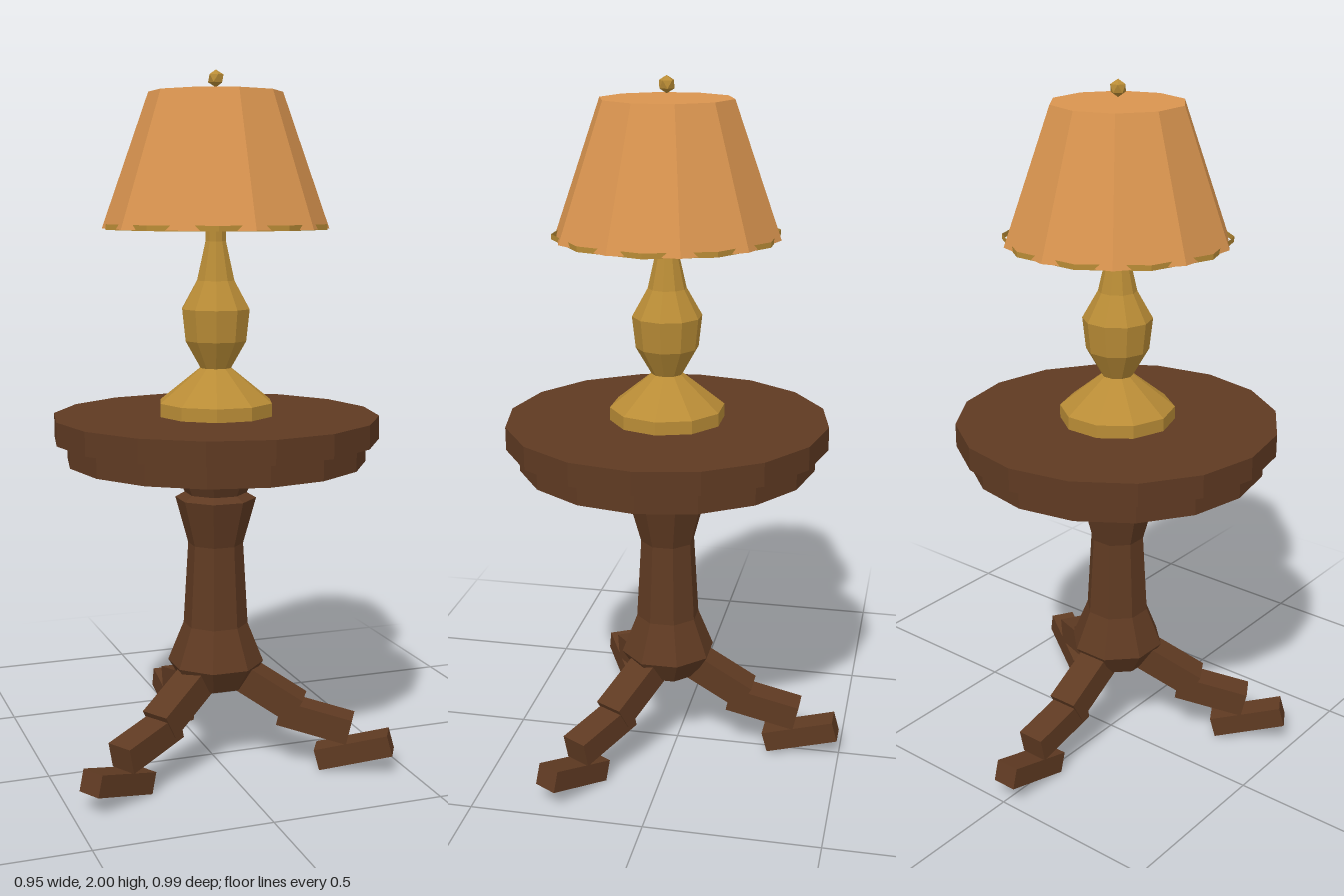
import * as THREE from 'three';

const material = (name, color, side = THREE.FrontSide) =>
  new THREE.MeshStandardMaterial({ name, color, side, flatShading: true });

export function createModel() {
  const wood = material('dark wood', 0x5f3a22);
  const brass = material('brass', 0xb98c36, THREE.DoubleSide);
  const fabric = material('shade fabric', 0xd9944f);

  const model = new THREE.Group();
  model.name = 'tableWithLamp';
  // everything turns about one vertical axis, slightly forward of the origin
  const axis = new THREE.Group();
  axis.name = 'turnedParts';
  axis.position.z = 0.03;
  model.add(axis);

  const add = (name, geometry, mat, parent = axis) => {
    const mesh = new THREE.Mesh(geometry, mat);
    mesh.name = name;
    parent.add(mesh);
    return mesh;
  };
  const disc = (name, rTop, rBottom, y0, y1, sides, mat, open = false) => {
    const mesh = add(name, new THREE.CylinderGeometry(rTop, rBottom, y1 - y0, sides, 1, open), mat);
    mesh.position.y = (y0 + y1) / 2;
    return mesh;
  };
  const turned = (name, profile, sides, turn, mat) => {
    const points = profile.map(([r, y]) => new THREE.Vector2(r, y));
    add(name, new THREE.LatheGeometry(points, sides), mat).rotation.y = turn;
  };

  // table
  disc('tabletop', 0.467, 0.467, 0.97, 1.037, 16, wood);
  disc('apron', 0.43, 0.43, 0.905, 0.97, 16, wood);
  turned('column', [
    [0, 0.235], [0.095, 0.235], [0.14, 0.305], [0.094, 0.42], [0.08, 0.66],
    [0.117, 0.795], [0.09, 0.81], [0.135, 0.907], [0, 0.907],
  ], 8, Math.PI / 8, wood);

  // three stepped legs: [name, r0, y0, r1, y1, thickness, width]
  const segments = [
    ['upperLeg', 0.06, 0.282, 0.245, 0.175, 0.08, 0.09],
    ['lowerLeg', 0.195, 0.168, 0.4, 0.122, 0.075, 0.082],
    ['foot', 0.306, 0.03, 0.5175, 0.088, 0.062, 0.073],
  ];
  for (let i = 0; i < 3; i++) {
    const leg = new THREE.Group();
    leg.name = 'leg';
    leg.rotation.y = (i * Math.PI * 2) / 3;
    axis.add(leg);
    for (const [name, r0, y0, r1, y1, thick, width] of segments) {
      const length = Math.hypot(r1 - r0, y1 - y0);
      const mesh = add(name, new THREE.BoxGeometry(width, thick, length), wood, leg);
      mesh.position.set(0, (y0 + y1) / 2, -(r0 + r1) / 2);
      mesh.rotation.x = Math.atan2(y1 - y0, r1 - r0);
    }
  }

  // lamp
  turned('lampBody', [
    [0, 1.037], [0.166, 1.037], [0.166, 1.075], [0.045, 1.172], [0.09, 1.25],
    [0.1, 1.34], [0.055, 1.42], [0.03, 1.53], [0.03, 1.58],
  ], 10, Math.PI / 2, brass);
  disc('lampshade', 0.187, 0.32, 1.565, 1.94, 10, fabric);
  disc('shadeTrim', 0.32, 0.32, 1.563, 1.578, 10, brass, true).rotation.y = Math.PI / 2;

  // small faceted knob with a point upward
  const knob = add('finial', new THREE.IcosahedronGeometry(0.024, 0), brass);
  knob.geometry.rotateX(-Math.atan((1 + Math.sqrt(5)) / 2));
  knob.position.y = 1.976;

  return model;
}
